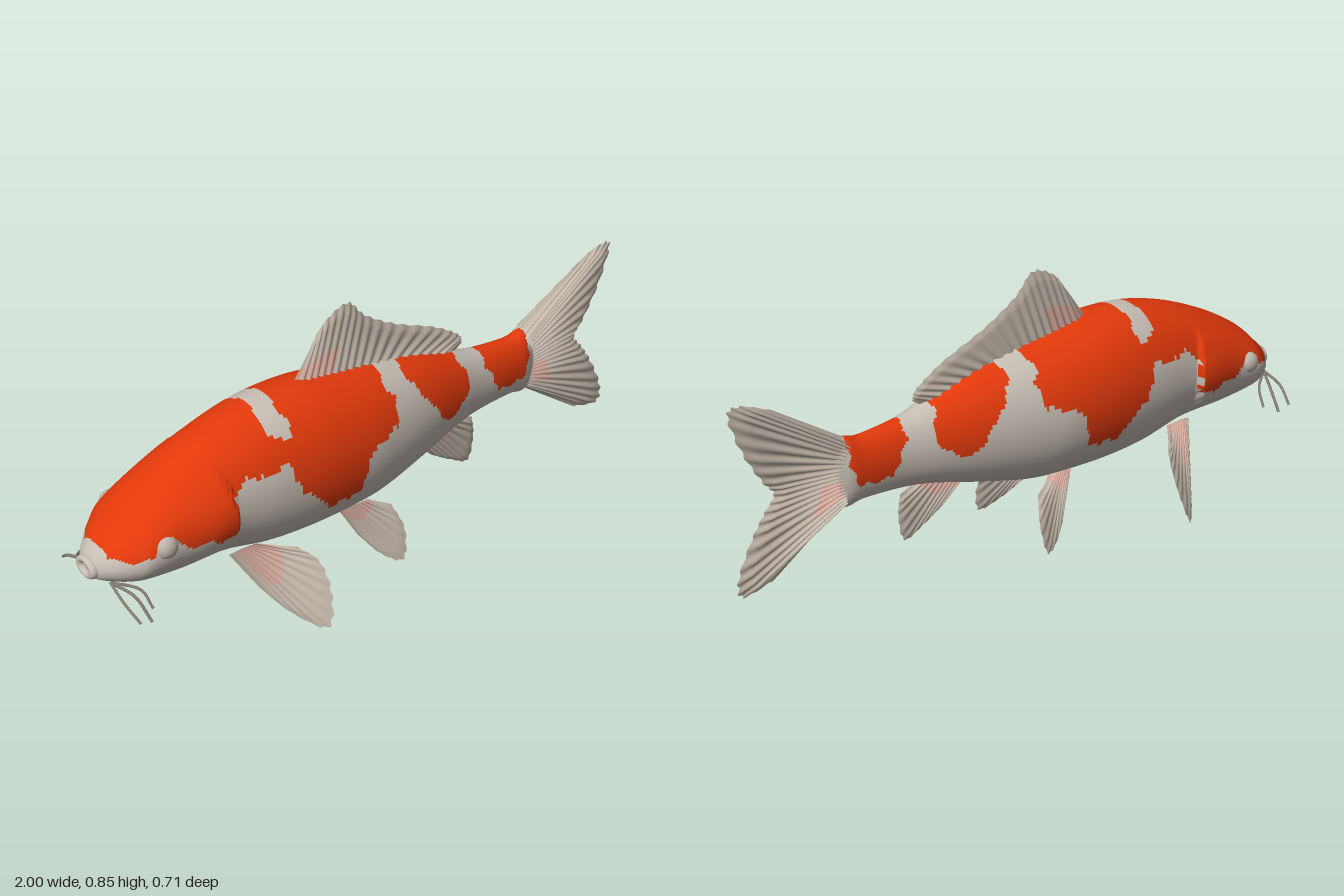
import * as THREE from 'three';

const mat = (name, color) => Object.assign(new THREE.MeshStandardMaterial({ color }), { name });
const V = (p) => new THREE.Vector3(...p);
const smooth = (pts) => new THREE.CatmullRomCurve3(pts.map(V), false, 'catmullrom', 0.5);

// Geometry from positions and one index list per material
function buildGeometry(positions, lists) {
  const geo = new THREE.BufferGeometry();
  geo.setAttribute('position', new THREE.Float32BufferAttribute(positions, 3));
  geo.setIndex(lists.flat());
  let start = 0;
  lists.forEach((list, i) => {
    geo.addGroup(start, list.length, i);
    start += list.length;
  });
  geo.computeVertexNormals();
  return geo;
}

// Body stations: x, top, bottom, half width
const STATIONS = [
  [-0.985, 0.335, 0.315, 0], [-0.98, 0.365, 0.295, 0.045], [-0.95, 0.395, 0.28, 0.085],
  [-0.9, 0.44, 0.265, 0.13], [-0.85, 0.485, 0.255, 0.155], [-0.74, 0.55, 0.238, 0.165],
  [-0.58, 0.62, 0.225, 0.165], [-0.42, 0.66, 0.19, 0.18], [-0.26, 0.665, 0.18, 0.188],
  [-0.1, 0.645, 0.185, 0.182], [0.01, 0.63, 0.195, 0.165], [0.17, 0.6, 0.235, 0.13],
  [0.33, 0.55, 0.28, 0.088], [0.435, 0.52, 0.298, 0.065], [0.57, 0.508, 0.305, 0.052],
  [0.63, 0.52, 0.295, 0.045], [0.69, 0.5, 0.31, 0.012],
];

// Red markings as outlines in side view (x, y)
const RED = [
  [[-0.955, 0.8], [-0.955, 0.37], [-0.87, 0.38], [-0.83, 0.42], [-0.78, 0.43], [-0.75, 0.37],
    [-0.7, 0.385], [-0.645, 0.36], [-0.59, 0.36], [-0.58, 0.485], [-0.53, 0.52], [-0.47, 0.5],
    [-0.4, 0.52], [-0.355, 0.41], [-0.3, 0.375], [-0.26, 0.31], [-0.14, 0.32], [-0.115, 0.44],
    [0.01, 0.485], [0.025, 0.56], [0, 0.6], [0.03, 0.65], [0.03, 0.8]],
  [[0.09, 0.8], [0.1, 0.575], [0.15, 0.5], [0.2, 0.44], [0.24, 0.38], [0.33, 0.41],
    [0.36, 0.47], [0.335, 0.54], [0.345, 0.8]],
  [[0.435, 0.8], [0.44, 0.47], [0.47, 0.43], [0.49, 0.37], [0.6, 0.37], [0.63, 0.44], [0.635, 0.8]],
];
const SADDLE = [[-0.425, 0.8], [-0.43, 0.65], [-0.445, 0.615], [-0.41, 0.585], [-0.36, 0.59], [-0.365, 0.64], [-0.38, 0.8]];

function inside(poly, x, y) {
  let hit = false;
  poly.forEach(([ax, ay], i) => {
    const [bx, by] = poly[(i + 1) % poly.length];
    if ((ay > y) !== (by > y) && x < ax + ((y - ay) * (bx - ax)) / (by - ay)) hit = !hit;
  });
  return hit;
}

function isRed(x, y) {
  const px = x + 0.005 * Math.sin(y * 110), py = y + 0.006 * Math.sin(x * 95);
  return RED.some((p) => inside(p, px, py)) && !inside(SADDLE, px, py);
}

function bodyGeometry() {
  const rows = (STATIONS.length - 1) * 20, cols = 88;
  const outline = smooth(STATIONS.map(([x, t, b]) => [x, t, b]));
  const widths = smooth(STATIONS.map(([x, , , w]) => [x, w, 0]));
  const pos = [], lists = [[], []];
  for (let i = 0; i <= rows; i++) {
    const { x, y: top, z: bottom } = outline.getPoint(i / rows);
    const w = Math.max(0, widths.getPoint(i / rows).y);
    for (let j = 0; j < cols; j++) {
      const a = (j / cols) * Math.PI * 2, c = Math.cos(a), s = Math.sin(a);
      // Gill covers swell out and end in a curved step
      const gill = x < -0.585 - 0.06 * c * c
        ? 0.024 * THREE.MathUtils.smoothstep(x, -0.78, -0.61) * Math.max(0, 1 - (c / 0.8) ** 2) : 0;
      pos.push(x, (top + bottom) / 2 + ((top - bottom) / 2) * c, (w + gill) * s);
    }
  }
  for (let i = 0; i < rows; i++) {
    for (let j = 0; j < cols; j++) {
      const k = (j + 1) % cols;
      const a = i * cols + j, b = i * cols + k, c = a + cols, d = b + cols;
      const x = (pos[a * 3] + pos[d * 3]) / 2, y = (pos[a * 3 + 1] + pos[d * 3 + 1]) / 2;
      lists[isRed(x, y) ? 1 : 0].push(a, b, c, b, d, c);
    }
  }
  return buildGeometry(pos, lists);
}

// Rayed fin: two rippled sheets between a root curve and a tip curve
function finGeometry({ root, tip, thick, rays, blush }) {
  const r = smooth(root), t = smooth(tip), nu = rays * 6, nv = 16;
  const n = V(root[root.length - 1]).sub(V(root[0]))
    .cross(t.getPoint(0.5).sub(r.getPoint(0.5))).normalize();
  const pos = [], lists = [[], []];
  for (const side of [1, -1]) {
    const base = pos.length / 3;
    for (let i = 0; i <= nu; i++) {
      const u = i / nu, a = r.getPoint(u), b = t.getPoint(u);
      for (let j = 0; j <= nv; j++) {
        const v = j / nv;
        const edge = Math.min(1, 8 * (1 - v)) * Math.min(1, 12 * u, 12 * (1 - u));
        const h = thick * (1 - 0.7 * v) * edge * (1 + 0.25 * Math.cos(u * rays * Math.PI * 2));
        const notch = 1 - 0.015 * v * (1 - Math.cos(u * rays * Math.PI * 2));
        const p = a.clone().lerp(b, v * notch).addScaledVector(n, h * side);
        pos.push(p.x, p.y, p.z);
      }
    }
    for (let i = 0; i < nu; i++) {
      for (let j = 0; j < nv; j++) {
        const a = base + i * (nv + 1) + j, b = a + nv + 1, c = a + 1, d = b + 1;
        const list = lists[blush(i / nu, j / nv) ? 1 : 0];
        if (side > 0) list.push(a, b, c, b, d, c);
        else list.push(a, c, b, b, c, d);
      }
    }
  }
  return buildGeometry(pos, lists);
}

const FINS = {
  tailFin: {
    root: [[0.62, 0.515, 0], [0.64, 0.41, 0], [0.64, 0.305, 0]],
    tip: [[0.86, 0.675, 0], [0.96, 0.715, 0], [1, 0.695, 0], [0.96, 0.57, 0], [0.9, 0.46, 0], [0.865, 0.41, 0],
      [0.9, 0.36, 0], [0.945, 0.29, 0], [0.995, 0.18, 0], [0.985, 0.115, 0], [0.88, 0.135, 0]],
    thick: 0.03, rays: 22, blush: (u, v) => v < 0.28 && u > 0.55 && u < 0.8,
  },
  dorsalFin: {
    root: [[-0.27, 0.64, 0], [-0.1, 0.625, 0], [0.1, 0.59, 0], [0.34, 0.53, 0]],
    tip: [[-0.19, 0.755, 0], [-0.135, 0.825, 0], [-0.055, 0.855, 0], [0.01, 0.79, 0], [0.125, 0.72, 0],
      [0.275, 0.655, 0], [0.37, 0.595, 0], [0.385, 0.56, 0]],
    thick: 0.019, rays: 20, blush: (u, v) => u < 0.28 && v < 0.4,
  },
  analFin: {
    root: [[0.2, 0.26, 0], [0.28, 0.28, 0], [0.37, 0.3, 0]],
    tip: [[0.275, 0.19, 0], [0.355, 0.14, 0], [0.425, 0.112, 0], [0.445, 0.2, 0], [0.435, 0.27, 0]],
    thick: 0.014, rays: 10, blush: (u, v) => v < 0.2,
  },
  pectoralFin: {
    root: [[-0.58, 0.25, 0.11], [-0.54, 0.265, 0.125], [-0.5, 0.27, 0.135]],
    tip: [[-0.53, 0.155, 0.19], [-0.47, 0.08, 0.27], [-0.4, 0.045, 0.352], [-0.37, 0.14, 0.33],
      [-0.375, 0.23, 0.28], [-0.42, 0.275, 0.23]],
    thick: 0.016, rays: 12, blush: (u, v) => v < 0.4 && u > 0.2,
  },
  pelvicFin: {
    root: [[-0.15, 0.205, 0.06], [-0.11, 0.21, 0.075], [-0.06, 0.215, 0.09]],
    tip: [[-0.1, 0.105, 0.1], [-0.045, 0.035, 0.15], [0.02, 0.003, 0.178], [0.038, 0.1, 0.16], [0.015, 0.18, 0.12]],
    thick: 0.013, rays: 10, blush: (u, v) => v < 0.25,
  },
};

export function createModel() {
  const fish = new THREE.Group();
  fish.name = 'fish';
  const white = mat('pale skin', 0xc6bdb3), red = mat('orange red skin', 0xe2390b);
  const fin = mat('fin', 0xc2b5a9), pink = mat('pink fin base', 0xd3a89b);
  const whisker = mat('barbel', 0x8a8077), eyeMat = mat('eye', 0xbdb4aa);
  const add = (name, geo, material) => {
    const mesh = new THREE.Mesh(geo, material);
    mesh.name = name;
    fish.add(mesh);
    return mesh;
  };

  add('body', bodyGeometry(), [white, red]);

  // Lips
  const lips = add('lips', new THREE.TorusGeometry(0.034, 0.014, 12, 32), white);
  lips.rotation.y = Math.PI / 2;
  lips.scale.y = 0.7;
  lips.position.set(-0.984, 0.328, 0);

  // Fins, with the paired ones mirrored
  for (const [name, spec] of Object.entries(FINS)) {
    const paired = spec.root[0][2] !== 0;
    for (const s of paired ? [1, -1] : [1]) {
      const flip = (pts) => pts.map(([x, y, z]) => [x, y, z * s]);
      add(name, finGeometry({ ...spec, root: flip(spec.root), tip: flip(spec.tip) }), [fin, pink]);
    }
  }

  // Eyes and barbels on both sides
  for (const s of [1, -1]) {
    const eye = add('eye', new THREE.SphereGeometry(0.034, 24, 16), eyeMat);
    eye.position.set(-0.81, 0.4, 0.148 * s);
    eye.scale.z = 0.8;
    for (const [x, y, z] of [[-0.945, 0.23, 0.205], [-0.905, 0.215, 0.2], [-0.875, 0.225, 0.16]]) {
      const path = smooth([[-0.955, 0.3, 0.07 * s], [x - 0.015, 0.275, (0.04 + z * 0.5) * s], [x, y, z * s]]);
      add('barbel', new THREE.TubeGeometry(path, 16, 0.0045, 6), whisker);
    }
  }
  return fish;
}
